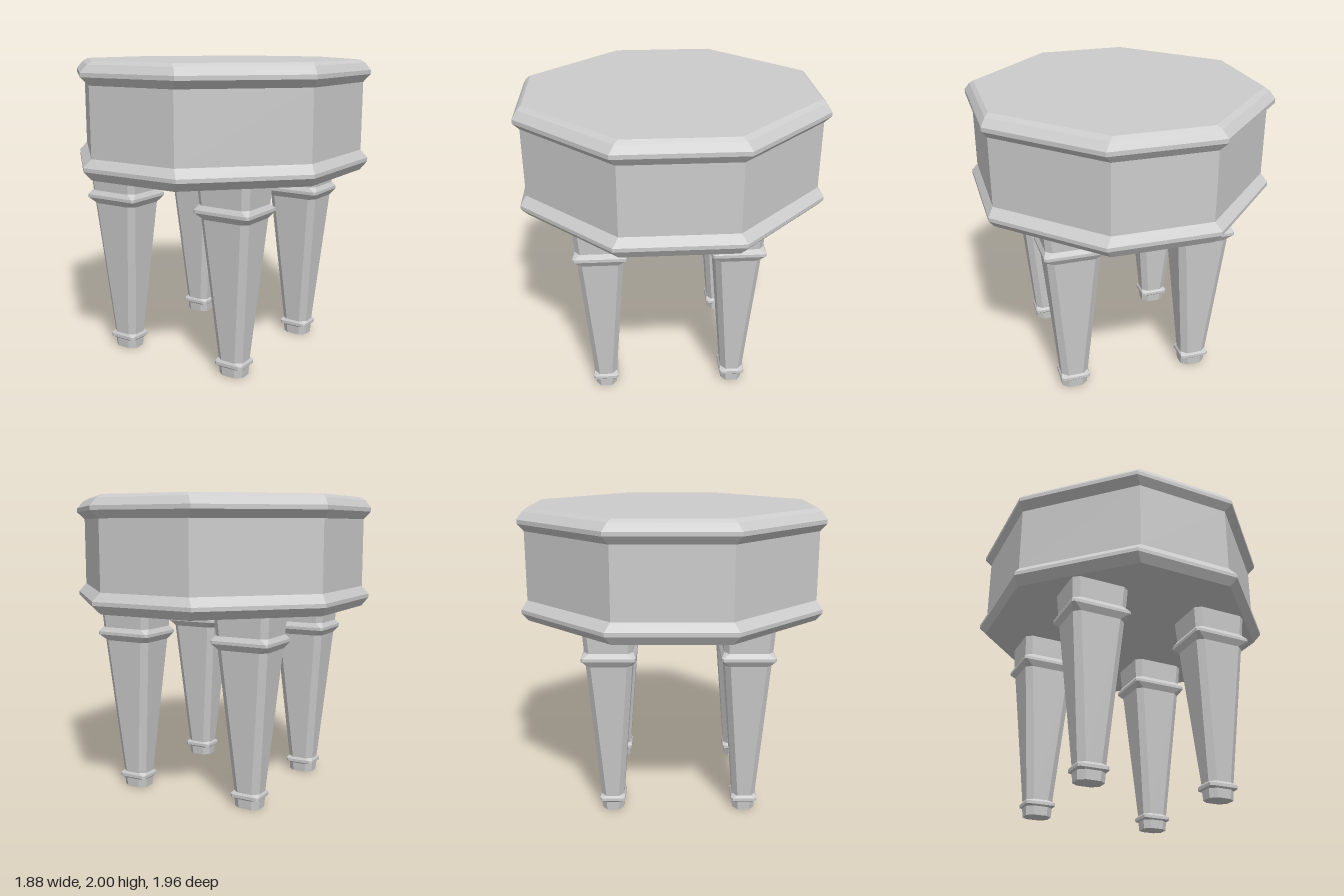
import * as THREE from 'three';

const material = new THREE.MeshStandardMaterial({ color: 0xcccccc, flatShading: true });

// Eight-sided ring: half sizes hx, hz with corners cut by cx, cz
function ring(y, hx, hz, cx, cz) {
  const a = hx - cx, b = hz - cz;
  return [[a, hz], [hx, b], [hx, -b], [a, -hz], [-a, -hz], [-hx, -b], [-hx, b], [-a, hz]]
    .map(([x, z]) => new THREE.Vector3(x, y, z));
}

// Skin a stack of rings from bottom to top, with flat caps
function loft(name, rings) {
  const pos = [];
  const tri = (...pts) => pts.forEach((p) => pos.push(p.x, p.y, p.z));
  const n = rings[0].length;
  for (let r = 0; r < rings.length - 1; r++) {
    const lo = rings[r], hi = rings[r + 1];
    for (let i = 0; i < n; i++) {
      const j = (i + 1) % n;
      tri(lo[i], lo[j], hi[j]);
      tri(lo[i], hi[j], hi[i]);
    }
  }
  const bottom = rings[0], top = rings[rings.length - 1];
  for (let i = 1; i < n - 1; i++) {
    tri(bottom[0], bottom[i + 1], bottom[i]);
    tri(top[0], top[i], top[i + 1]);
  }
  const geometry = new THREE.BufferGeometry();
  geometry.setAttribute('position', new THREE.Float32BufferAttribute(pos, 3));
  geometry.computeVertexNormals();
  const mesh = new THREE.Mesh(geometry, material);
  mesh.name = name;
  return mesh;
}

// Octagonal seat ring, drawn in by d from its widest outline
const seatRing = ([y, d]) => ring(y, 0.94 - d, 0.98 - d, 0.585, 0.585);

export function createModel() {
  const model = new THREE.Group();
  model.name = 'octagonalStool';

  // Seat: base moulding, plain apron and bevelled top
  model.add(loft('baseMoulding', [[1.27, 0.036], [1.325, 0], [1.35, 0], [1.405, 0.036]].map(seatRing)));
  model.add(loft('apron', [[1.4, 0.036], [1.86, 0.036]].map(seatRing)));
  model.add(loft('seatTop', [[1.855, 0.036], [1.905, 0], [1.932, 0], [1.98, 0.03], [2, 0.055]].map(seatRing)));

  // Legs: y, half width, half depth, corner cut
  const profile = [
    [0, 0.087, 0.071, 0.042],
    [0.06, 0.091, 0.075, 0.042],
    [0.07, 0.101, 0.085, 0.016],
    [0.09, 0.101, 0.085, 0.016],
    [0.105, 0.092, 0.076, 0.042],
    [1.04, 0.175, 0.148, 0.042],
    [1.08, 0.2, 0.172, 0.014],
    [1.1, 0.2, 0.172, 0.014],
    [1.13, 0.183, 0.155, 0.04],
    [1.29, 0.194, 0.166, 0.04],
  ];
  for (const [label, z] of [['front', 0.483], ['back', -0.4]]) {
    for (const [side, x] of [['Left', 0.44], ['Right', -0.44]]) {
      const leg = loft(`${label}${side}Leg`, profile.map(([y, hx, hz, c]) => ring(y, hx, hz, c, c * 0.8)));
      leg.position.set(x, 0, z);
      model.add(leg);
    }
  }
  return model;
}
